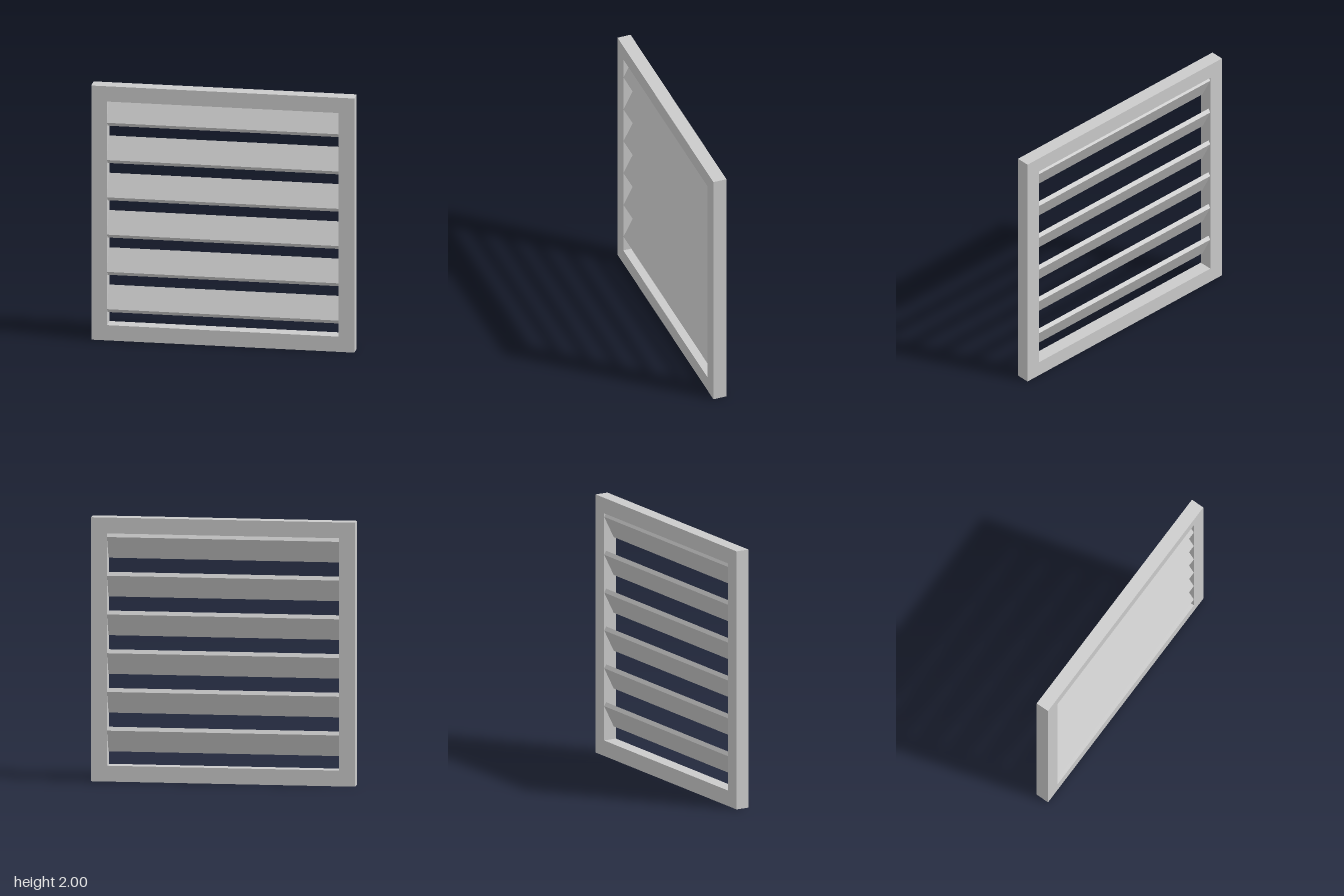
import * as THREE from 'three';

export function createModel() {
  const group = new THREE.Group();
  group.name = 'louverVent';
  const material = new THREE.MeshStandardMaterial({ color: 0xcccccc, flatShading: true });
  const depth = 0.105, inner = 0.88, slatCount = 6;

  // Square frame with a square opening
  const outline = new THREE.Shape([[-1, 0], [1, 0], [1, 2], [-1, 2]].map(p => new THREE.Vector2(...p)));
  outline.holes.push(new THREE.Path(
    [[-inner, 0.12], [-inner, 1.88], [inner, 1.88], [inner, 0.12]].map(p => new THREE.Vector2(...p))));
  const frameGeometry = new THREE.ExtrudeGeometry(outline, { depth, bevelEnabled: false });
  frameGeometry.translate(0, 0, -depth / 2);
  const frame = new THREE.Mesh(frameGeometry, material);
  frame.name = 'frame';
  group.add(frame);

  // Slanted slat profile (toward the back, up), with its top edge at y = 0
  const profile = new THREE.Shape([
    [-0.051, -0.168], // front corner
    [-0.033, -0.196], // lowest corner
    [0.051, -0.028],  // back corner
    [0.033, 0],       // top corner
  ].map(p => new THREE.Vector2(...p)));
  const slatGeometry = new THREE.ExtrudeGeometry(profile, { depth: inner * 2, bevelEnabled: false });
  slatGeometry.translate(0, 0, -inner);
  slatGeometry.rotateY(Math.PI / 2);

  // Evenly spaced slats, the first one against the top rail
  for (let i = 0; i < slatCount; i++) {
    const slat = new THREE.Mesh(slatGeometry, material);
    slat.name = `slat${i + 1}`;
    slat.position.y = 1.88 - i * (1.76 / slatCount);
    group.add(slat);
  }
  return group;
}
